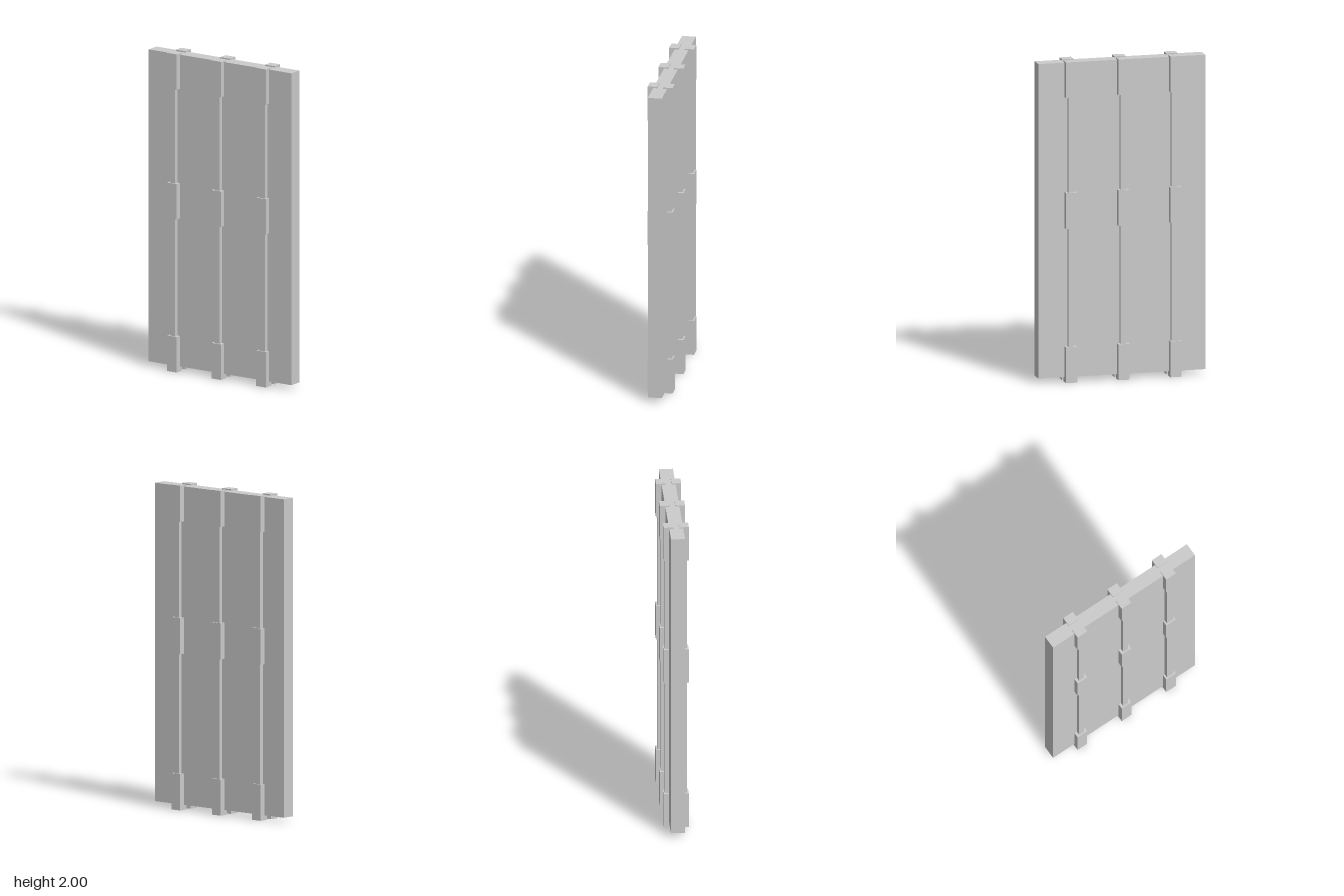
import * as THREE from 'three';

export function createModel() {
  const model = new THREE.Group();
  model.name = 'plankDoor';
  const material = new THREE.MeshStandardMaterial({ color: 0xcccccc, flatShading: true });

  // Box given by its size and centre
  function box(name, parent, size, centre) {
    const mesh = new THREE.Mesh(new THREE.BoxGeometry(...size), material);
    mesh.name = name;
    mesh.position.set(...centre);
    parent.add(mesh);
  }

  // Main slab
  box('panel', model, [1.052, 1.96, 0.086], [0, 1.012, 0]);

  const columns = [-0.332, -0.005, 0.325];
  const blockHeights = [0.1125, 1.0735, 1.8885];

  // Each face carries three vertical rods, each held by three blocks
  for (const side of [1, -1]) {
    const face = new THREE.Group();
    face.name = side > 0 ? 'frontFittings' : 'backFittings';
    model.add(face);
    columns.forEach((x, i) => {
      // The rod at the viewer's right of each face is a little wider
      const wide = i === (side > 0 ? 2 : 0);
      box('rod', face, [wide ? 0.048 : 0.037, 1.8, 0.045], [x, 1, side * 0.0455]);
      for (const y of blockHeights) {
        box('block', face, [0.071, 0.223, 0.059], [x, y, side * 0.0475]);
      }
    });
  }

  // Rest the lowest blocks on the ground
  const bounds = new THREE.Box3().setFromObject(model);
  model.children.forEach((part) => { part.position.y -= bounds.min.y; });
  return model;
}
